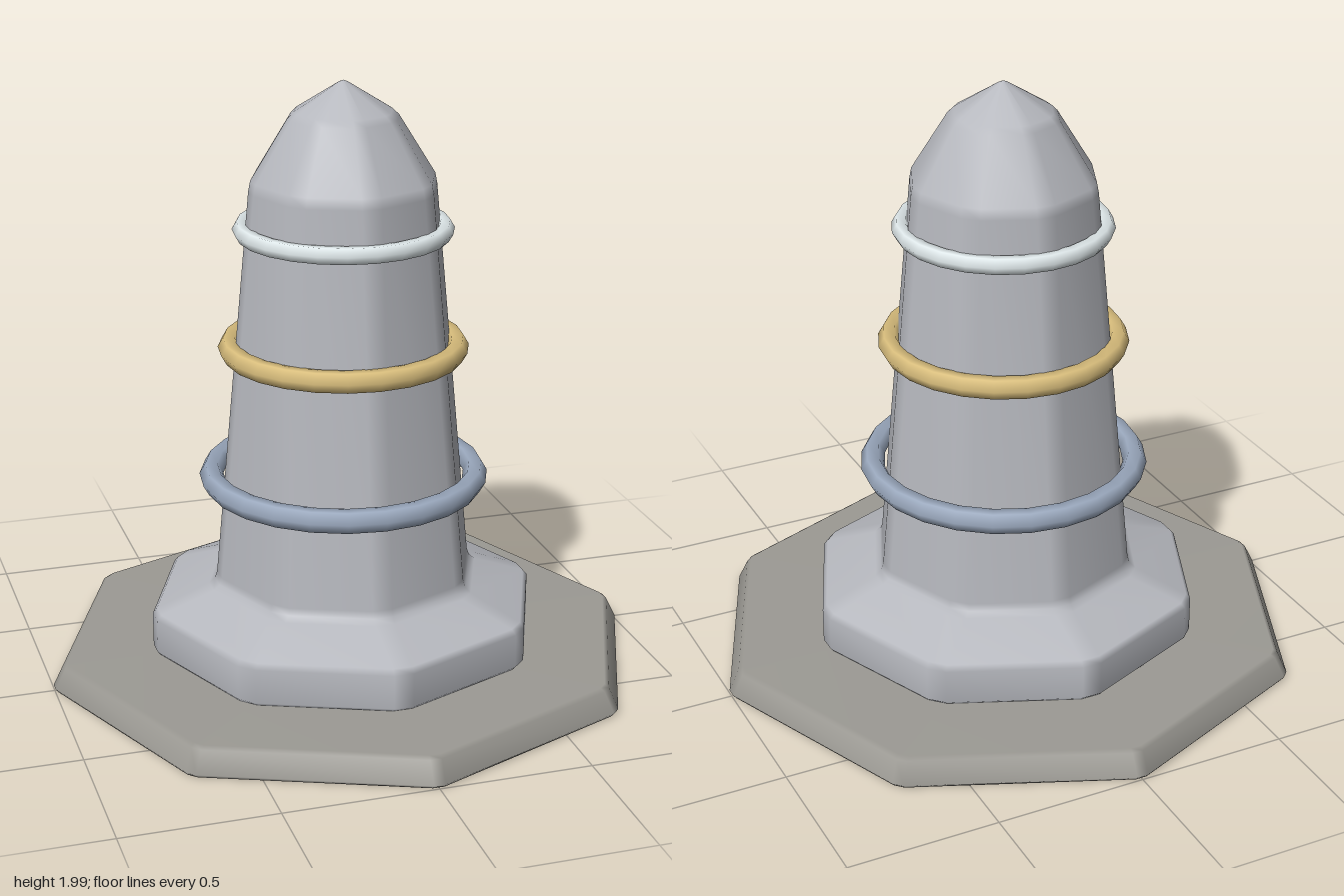
import * as THREE from 'three';

const SIDES = 8;

// Octagonal solid with softened corners, from a [radius, height] profile listed bottom to top
function octagonSolid(name, color, profile, chamfer) {
  const positions = [], indices = [], count = SIDES * 2;
  for (const [radius, y] of profile) {
    const cut = Math.min(chamfer, radius * 0.12);
    const r = radius + cut * Math.sin(Math.PI / SIDES);
    const corner = i => {
      const a = (i / SIDES) * Math.PI * 2;
      return new THREE.Vector3(Math.sin(a) * r, y, Math.cos(a) * r);
    };
    for (let i = 0; i < SIDES; i++) {
      for (const step of [-1, 1]) {
        const toward = corner(i + step).sub(corner(i)).normalize();
        positions.push(...corner(i).addScaledVector(toward, cut).toArray());
      }
    }
  }
  for (let j = 0; j < profile.length - 1; j++) {
    for (let i = 0; i < count; i++) {
      const next = (i + 1) % count;
      const a = j * count + i, b = j * count + next;
      const c = b + count, d = a + count;
      if (profile[j][0] > 0) indices.push(a, b, d);
      if (profile[j + 1][0] > 0) indices.push(b, c, d);
      else if (profile[j][0] === 0) continue;
    }
  }
  const geometry = new THREE.BufferGeometry();
  geometry.setAttribute('position', new THREE.Float32BufferAttribute(positions, 3));
  geometry.setIndex(indices);
  geometry.computeVertexNormals();
  const mesh = new THREE.Mesh(geometry, new THREE.MeshStandardMaterial({ color }));
  mesh.name = name;
  return mesh;
}

// Horizontal band with a six-sided section
function ring(name, color, y, radius, tube) {
  const mesh = new THREE.Mesh(
    new THREE.TorusGeometry(radius, tube, 6, 24),
    new THREE.MeshStandardMaterial({ color })
  );
  mesh.name = name;
  mesh.rotation.x = Math.PI / 2;
  mesh.position.y = y;
  return mesh;
}

export function createModel() {
  const model = new THREE.Group();
  model.name = 'ringedTower';

  // Ground slab with sloping edges
  model.add(octagonSolid('groundSlab', 0x9c9a94, [
    [0, 0], [0.99, 0], [1, 0.012], [0.965, 0.082], [0.95, 0.092], [0, 0.092],
  ], 0.02));

  // Plinth, tapering shaft and pointed dome
  model.add(octagonSolid('tower', 0xb6b8be, [
    [0, 0.09], [0.64, 0.09], [0.655, 0.105], [0.655, 0.22], [0.64, 0.238],
    [0.46, 0.305], [0.44, 0.322], [0.432, 0.345],
    [0.307, 1.64], [0.3, 1.675],
    [0.18, 1.87], [0.16, 1.89], [0.015, 1.982], [0, 1.988],
  ], 0.035));

  // Bands around the shaft
  model.add(ring('lowerRing', 0x9aa8bd, 0.665, 0.44, 0.04));
  model.add(ring('middleRing', 0xd8bd7c, 1.108, 0.375, 0.037));
  model.add(ring('upperRing', 0xdfe8ea, 1.505, 0.33, 0.03));

  return model;
}
